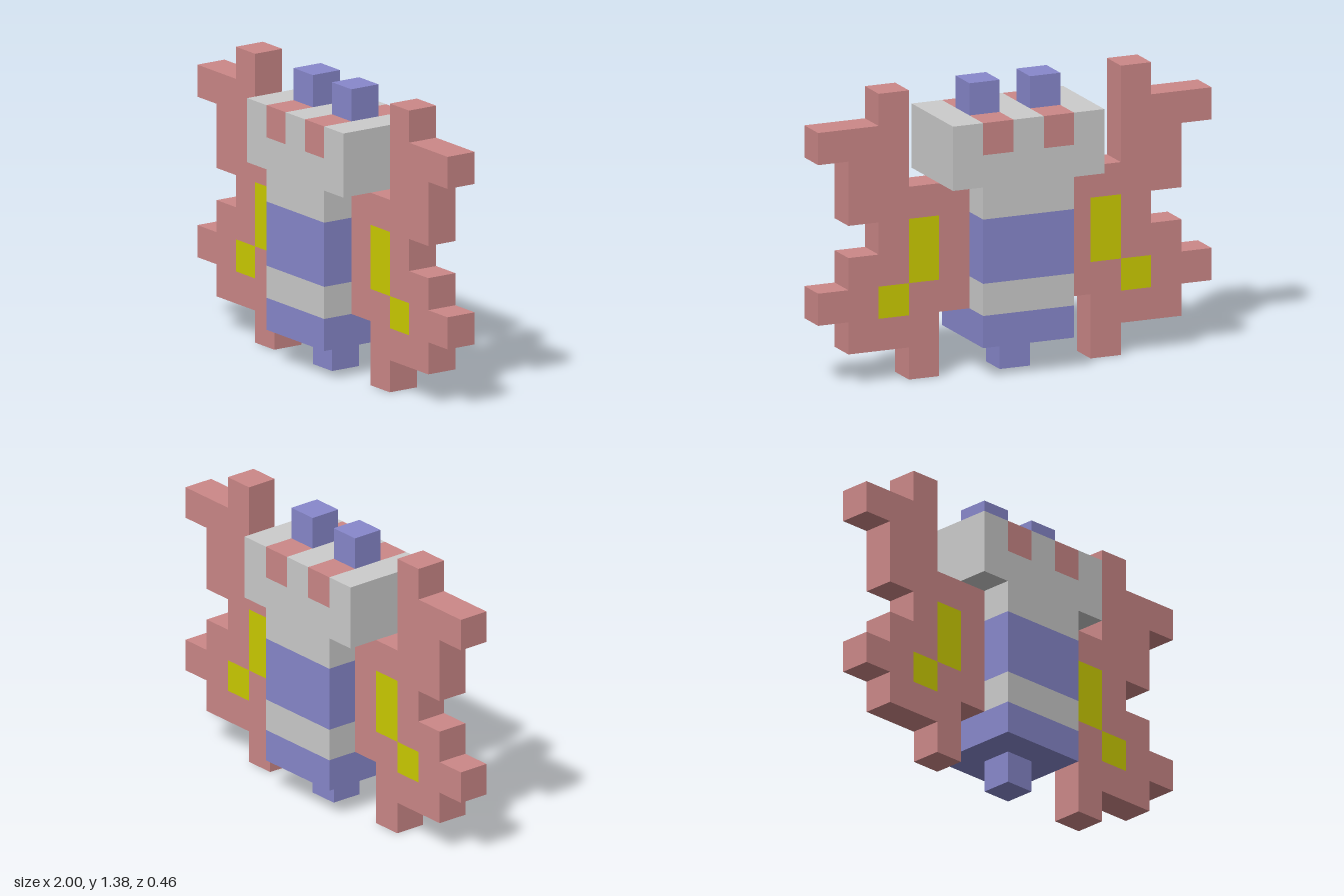
import * as THREE from 'three';

const U = 2 / 13; // edge of one block; the whole model is 13 blocks wide

const paint = (color) => new THREE.MeshStandardMaterial({ color, flatShading: true });
const GREY = paint(0xcccccc);
const RED = paint(0xcc8888);
const BLUE = paint(0x8888cc);
const YELLOW = paint(0xcccc00);

// Box between block coordinates, centred on z
function block(name, material, x0, x1, y0, y1, depth) {
  const mesh = new THREE.Mesh(
    new THREE.BoxGeometry((x1 - x0) * U, (y1 - y0) * U, depth * U), material);
  mesh.position.set((x0 + x1) / 2 * U, (y0 + y1) / 2 * U, 0);
  mesh.name = name;
  return mesh;
}

// One-block-thick plate from an outline in block coordinates
function plate(name, outline, side) {
  const shape = new THREE.Shape(outline.map(([x, y]) => new THREE.Vector2(side * x * U, y * U)));
  const geometry = new THREE.ExtrudeGeometry(shape, { depth: U, bevelEnabled: false });
  geometry.translate(0, 0, -U / 2);
  const mesh = new THREE.Mesh(geometry, RED);
  mesh.name = name;
  return mesh;
}

// Wing halves meet at block row 3; each leaves a notch for a yellow spot
const UPPER_WING = [
  [1.5, 3], [2.5, 3], [2.5, 5], [3.5, 5], [3.5, 3], [5.5, 3], [5.5, 4], [4.5, 4], [4.5, 5],
  [5.5, 5], [5.5, 7], [6.5, 7], [6.5, 8], [4.5, 8], [4.5, 9], [3.5, 9], [3.5, 6], [1.5, 6],
];
const LOWER_WING = [
  [1.5, 2], [2.5, 2], [2.5, 0], [3.5, 0], [3.5, 1], [5.5, 1], [5.5, 2], [6.5, 2], [6.5, 3],
  [4.5, 3], [4.5, 2], [3.5, 2], [3.5, 3], [1.5, 3],
];

function wing(side) {
  const group = new THREE.Group();
  group.name = side > 0 ? 'leftWing' : 'rightWing';
  const spot = (name, x0, x1, y0, y1) =>
    block(name, YELLOW, Math.min(side * x0, side * x1), Math.max(side * x0, side * x1), y0, y1, 1);
  group.add(
    plate('upperWing', UPPER_WING, side),
    plate('lowerWing', LOWER_WING, side),
    spot('largeSpot', 2.5, 3.5, 3, 5),
    spot('smallSpot', 3.5, 4.5, 2, 3));
  return group;
}

export function createModel() {
  const model = new THREE.Group();
  model.name = 'blockButterfly';

  // Banded body and tail
  const body = new THREE.Group();
  body.name = 'body';
  body.add(block('tail', BLUE, -0.5, 0.5, 0, 1, 1));
  for (const [name, material, y0, y1] of [
    ['lowerBlueBand', BLUE, 1, 2],
    ['greyBand', GREY, 2, 3],
    ['upperBlueBand', BLUE, 3, 5],
    ['neck', GREY, 5, 6],
  ]) body.add(block(name, material, -1.5, 1.5, y0, y1, 3));

  // Head: plain lower row, striped upper row
  const head = new THREE.Group();
  head.name = 'head';
  head.add(block('lowerHead', GREY, -2.5, 2.5, 6, 7, 3));
  for (let i = 0; i < 5; i++) {
    const striped = i % 2 === 1;
    head.add(block(striped ? 'eyeStripe' : 'crown', striped ? RED : GREY, i - 2.5, i - 1.5, 7, 8, 3));
  }

  // Feelers above the stripes, and the wings
  for (const side of [-1, 1]) {
    head.add(block(side > 0 ? 'leftFeeler' : 'rightFeeler', BLUE, side - 0.5, side + 0.5, 8, 9, 1));
    model.add(wing(side));
  }

  model.add(body, head);
  return model;
}
